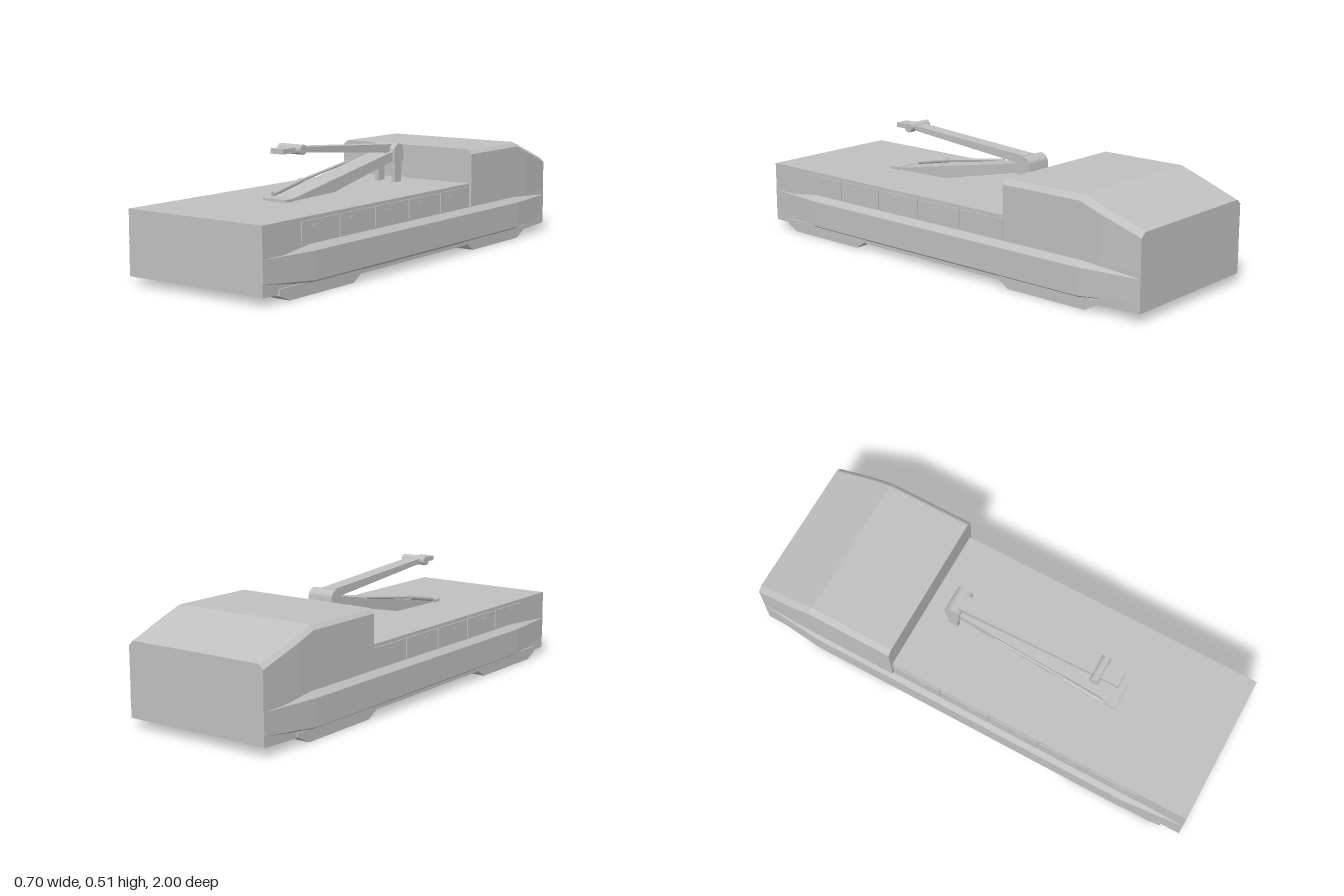
import * as THREE from 'three';
import { toCreasedNormals } from 'three/addons/utils/BufferGeometryUtils.js';

const grey = new THREE.MeshStandardMaterial({ color: 0xc0c0c0 });
grey.name = 'grey paint';

// Skin over convex [x, y] rings (counterclockwise seen from +z), z increasing
function loft(sections) {
  const pos = [];
  const n = sections[0].ring.length;
  const put = (s, i) => pos.push(...s.ring[i % n], s.z);
  for (let k = 0; k + 1 < sections.length; k++) {
    const a = sections[k], b = sections[k + 1];
    for (let i = 0; i < n; i++) {
      put(a, i); put(a, i + 1); put(b, i + 1);
      put(a, i); put(b, i + 1); put(b, i);
    }
  }
  const back = sections[0], front = sections[sections.length - 1];
  for (let i = 1; i + 1 < n; i++) {
    put(back, 0); put(back, i + 1); put(back, i);
    put(front, 0); put(front, i); put(front, i + 1);
  }
  const g = new THREE.BufferGeometry();
  g.setAttribute('position', new THREE.Float32BufferAttribute(pos, 3));
  g.computeVertexNormals();
  return g;
}

// Side outline in (z, y), given a width along x
function sideShape(shape, width, x = 0) {
  const g = new THREE.ExtrudeGeometry(shape, { depth: width, bevelEnabled: false, curveSegments: 12 });
  return g.rotateY(-Math.PI / 2).translate(x + width / 2, 0, 0);
}
const outline = (pts) => new THREE.Shape(pts.map(([z, y]) => new THREE.Vector2(z, y)));
const box = (w, h, d, x, y, z) => new THREE.BoxGeometry(w, h, d).translate(x, y, z);

function rod(radius, from, to) {
  const a = new THREE.Vector3(...from), b = new THREE.Vector3(...to);
  const dir = b.clone().sub(a);
  const g = new THREE.CylinderGeometry(radius, radius, dir.length(), 16);
  g.applyQuaternion(new THREE.Quaternion().setFromUnitVectors(new THREE.Vector3(0, 1, 0), dir.normalize()));
  return g.translate(...a.add(b).multiplyScalar(0.5).toArray());
}

export function createModel() {
  const model = new THREE.Group();
  const add = (name, geometry, parent = model) => {
    const mesh = new THREE.Mesh(geometry, grey);
    mesh.name = name;
    parent.add(mesh);
  };
  const group = (name) => {
    const g = new THREE.Group();
    g.name = name;
    model.add(g);
    return g;
  };

  // Hull with a slightly raised keel at both ends
  add('hull', sideShape(outline([
    [-1, 0.037], [-0.75, 0.026], [0.75, 0.026], [1, 0.031], [1, 0.29], [-1, 0.29],
  ]), 0.656));

  // Cabin with chamfered roof edges and a sloping rear roof
  const cabinRing = (w, top) => [
    [-w, 0.192], [w, 0.192], [w, top - 0.02], [w - 0.016, top - 0.004],
    [w - 0.024, top], [-w + 0.024, top], [-w + 0.016, top - 0.004], [-w, top - 0.02],
  ];
  add('cabin', loft([
    { z: -1, ring: cabinRing(0.328, 0.34) },
    { z: -0.82, ring: cabinRing(0.339, 0.403) },
    { z: -0.73, ring: cabinRing(0.339, 0.435) },
    { z: -0.355, ring: cabinRing(0.339, 0.435) },
  ]));

  for (const s of [1, -1]) {
    const side = s > 0 ? 'left' : 'right';

    // Tapered side sponson
    const ring = (pts) => {
      const r = pts.map(([x, y]) => [s * x, y]);
      return s > 0 ? r : r.reverse();
    };
    const tip = ring([[0.31, 0.08], [0.329, 0.08], [0.329, 0.168], [0.31, 0.17]]);
    const mid = ring([[0.32, 0.036], [0.352, 0.055], [0.352, 0.165], [0.325, 0.19]]);
    add(side + 'Sponson', loft([
      { z: -1, ring: tip }, { z: -0.73, ring: mid }, { z: 0.73, ring: mid }, { z: 1, ring: tip },
    ]));

    // Skids under the hull
    add(side + 'FrontSkid', sideShape(outline([
      [0.42, 0.035], [0.475, 0], [0.86, 0], [0.915, 0.025], [0.915, 0.05], [0.42, 0.05],
    ]), 0.08, s * 0.295));
    add(side + 'RearSkid', sideShape(outline([
      [-0.82, 0.035], [-0.755, 0], [-0.38, 0], [-0.325, 0.035], [-0.325, 0.05], [-0.82, 0.05],
    ]), 0.08, s * 0.295));

    // Locker doors and their handles
    const lockers = group(side + 'Lockers');
    for (let i = 0; i < 5; i++) {
      const z = 0.677 - i * 0.229;
      add('lockerDoor', box(0.008, 0.082, 0.218, s * 0.329, 0.235, z), lockers);
      add('lockerHandle', box(0.004, 0.006, 0.035, s * 0.334, 0.255, z + 0.03), lockers);
    }
  }

  // Crane pivot: two posts carrying a rounded head
  const crane = group('crane');
  for (const s of [1, -1]) add('pivotPost', box(0.018, 0.1, 0.046, s * 0.044, 0.335, -0.222), crane);
  const head = new THREE.Shape();
  head.moveTo(-0.254, 0.378);
  head.lineTo(-0.186, 0.378);
  head.lineTo(-0.186, 0.421);
  head.absarc(-0.22, 0.421, 0.034, 0, Math.PI, false);
  head.closePath();
  add('pivotHead', toCreasedNormals(sideShape(head, 0.116), 0.6), crane);

  // Tapered support arm running down to the deck, with its foot plate
  add('supportArm', sideShape(outline([
    [-0.21, 0.385], [-0.17, 0.38], [0.22, 0.295], [0.52, 0.289], [0.52, 0.297], [0.47, 0.302], [-0.2, 0.425],
  ]), 0.098), crane);
  add('footPlate', box(0.116, 0.012, 0.045, 0, 0.295, 0.518), crane);

  // Hydraulic ram beside the support arm
  add('ramCylinder', rod(0.01, [-0.058, 0.308, 0.48], [-0.058, 0.344, 0.3]), crane);
  add('ramRod', rod(0.006, [-0.057, 0.344, 0.3], [-0.057, 0.392, -0.02]), crane);

  // Upper boom with end roller and tip
  add('boom', sideShape(outline([
    [-0.2, 0.415], [0.43, 0.474], [0.43, 0.495], [-0.2, 0.452],
  ]), 0.064), crane);
  add('boomRoller', rod(0.02, [-0.058, 0.486, 0.43], [0.058, 0.486, 0.43]), crane);
  add('boomTip', box(0.064, 0.02, 0.1, 0, 0.484, 0.475), crane);

  return model;
}
